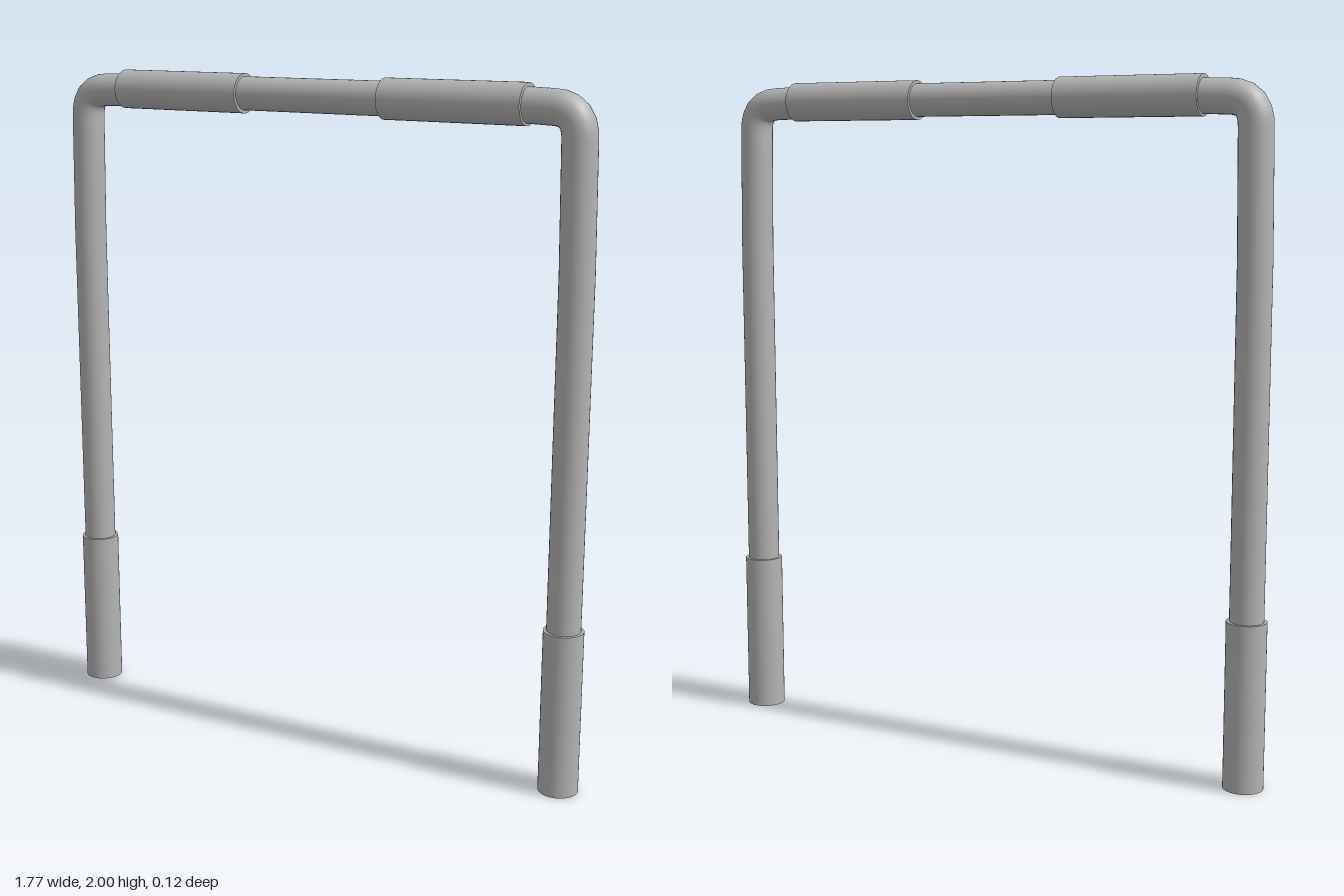
import * as THREE from 'three';

export function createModel() {
  const group = new THREE.Group();
  group.name = 'barFrame';
  const grey = new THREE.MeshStandardMaterial({ color: 0xb4b4b4 });
  grey.name = 'grey metal';

  const LEG_X = 0.828, BAR_Y = 1.942, TUBE_R = 0.049, SLEEVE_R = 0.058;
  const add = (name, geometry, x = 0, y = 0) => {
    const mesh = new THREE.Mesh(geometry, grey);
    mesh.name = name;
    mesh.position.set(x, y, 0);
    group.add(mesh);
    return mesh;
  };

  // One bent tube: legs lean in slightly near the top, then turn tightly into the bar
  const p = (x, y) => new THREE.Vector3(x, y, 0);
  const half = (s) => [
    p(s * LEG_X, 0.1), p(s * LEG_X, 1.5), p(s * 0.822, 1.86),
    p(s * 0.82, 1.934), p(s * 0.75, 1.937), p(s * 0.6, BAR_Y),
  ];
  const [a, b] = [half(-1), half(1)];
  const path = new THREE.CurvePath();
  path.add(new THREE.LineCurve3(a[0], a[1]));
  path.add(new THREE.LineCurve3(a[1], a[2]));
  path.add(new THREE.QuadraticBezierCurve3(a[2], a[3], a[4]));
  path.add(new THREE.LineCurve3(a[4], a[5]));
  path.add(new THREE.LineCurve3(a[5], b[5]));
  path.add(new THREE.LineCurve3(b[5], b[4]));
  path.add(new THREE.QuadraticBezierCurve3(b[4], b[3], b[2]));
  path.add(new THREE.LineCurve3(b[2], b[1]));
  path.add(new THREE.LineCurve3(b[1], b[0]));
  add('bentTube', new THREE.TubeGeometry(path, 240, TUBE_R, 32, false));

  // Thicker foot sleeves and hand grips, mirrored
  for (const [side, s] of [['left', 1], ['right', -1]]) {
    add(side + 'FootSleeve', new THREE.CylinderGeometry(SLEEVE_R, SLEEVE_R, 0.488, 40), s * LEG_X, 0.244);
    const grip = add(side + 'Grip', new THREE.CylinderGeometry(SLEEVE_R, SLEEVE_R, 0.436, 40), s * 0.453, BAR_Y);
    grip.rotation.z = Math.PI / 2;
  }
  return group;
}
